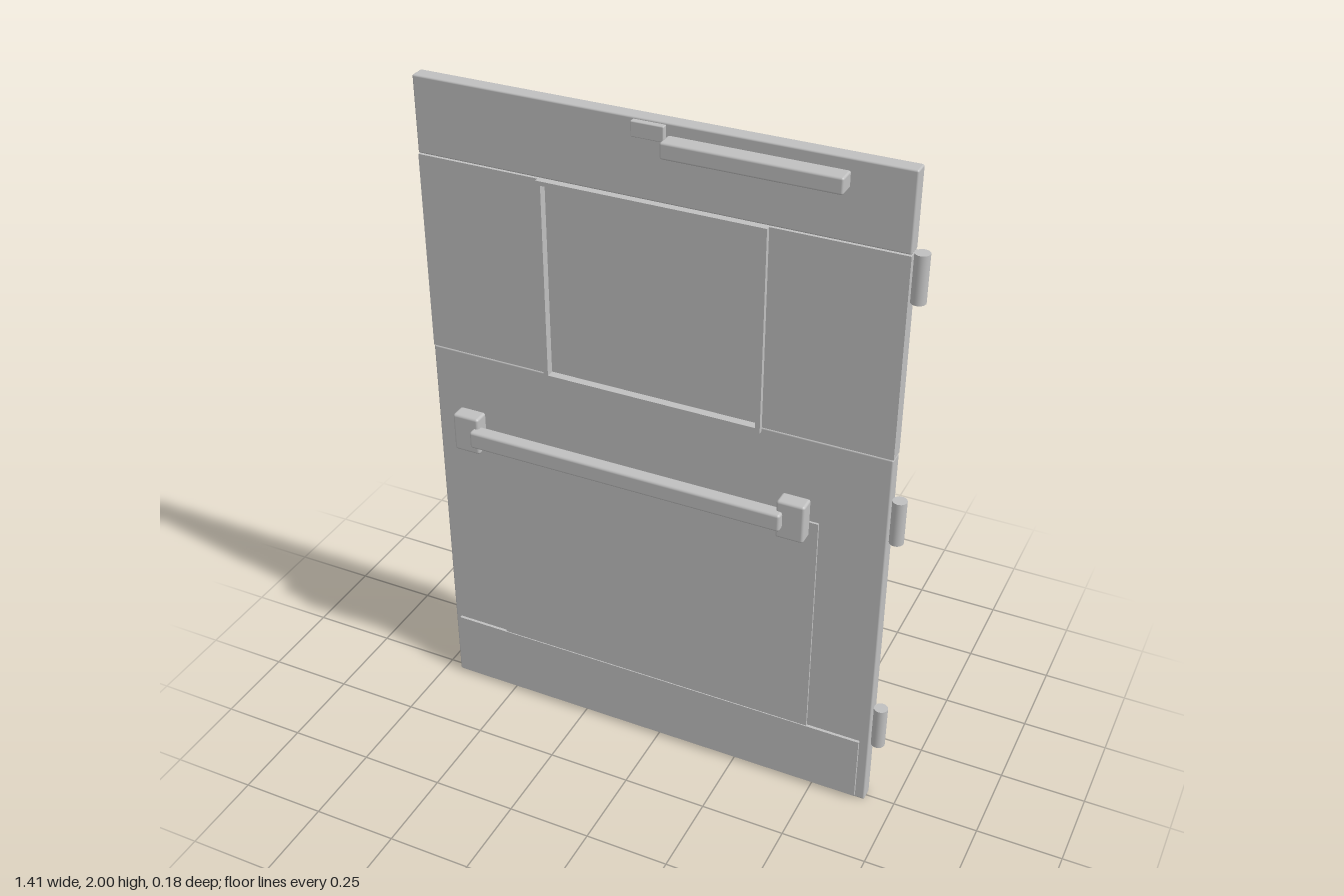
import * as THREE from 'three';
import { RoundedBoxGeometry } from 'three/addons/geometries/RoundedBoxGeometry.js';

export function createModel() {
  const door = new THREE.Group();
  door.name = 'door';
  const grey = new THREE.MeshStandardMaterial({ color: 0xc0c0c0 });
  grey.name = 'grey metal';

  const add = (name, geometry, x = 0, y = 0, z = 0) => {
    const mesh = new THREE.Mesh(geometry, grey);
    mesh.name = name;
    mesh.position.set(x, y, z);
    door.add(mesh);
    return mesh;
  };
  // Box given by its limits; a radius rounds its edges
  const block = (name, [x0, x1], [y0, y1], [z0, z1], radius = 0) => {
    const size = [x1 - x0, y1 - y0, z1 - z0];
    const geometry = radius
      ? new RoundedBoxGeometry(...size, 2, radius)
      : new THREE.BoxGeometry(...size);
    return add(name, geometry, (x0 + x1) / 2, (y0 + y1) / 2, (z0 + z1) / 2);
  };
  const rect = (path, x0, x1, y0, y1) =>
    path.moveTo(x0, y0).lineTo(x1, y0).lineTo(x1, y1).lineTo(x0, y1).closePath();

  // Door leaf: three bands with fine seams, the middle one open for the window
  const left = -0.705, right = 0.665, leaf = [-0.022, 0.022];
  block('lowerLeaf', [left, right], [0, 1.196], leaf, 0.005);
  block('upperLeaf', [left, right], [1.782, 2], leaf, 0.005);
  block('middleLeafRight', [left, -0.335], [1.197, 1.779], leaf);
  block('middleLeafLeft', [0.29, right], [1.197, 1.779], leaf);

  // Window pane and the frame around it
  block('windowPane', [-0.335, 0.29], [1.19, 1.78], [-0.012, 0.012]);
  const frame = new THREE.Shape();
  rect(frame, -0.345, 0.3, 1.185, 1.78);
  const opening = new THREE.Path();
  rect(opening, -0.331, 0.286, 1.199, 1.768);
  frame.holes.push(opening);
  add('windowFrame', new THREE.ExtrudeGeometry(frame, { depth: 0.07, bevelEnabled: false }), 0, 0, -0.034);

  // Thin panels and kick plates on both faces
  for (const [side, s] of [['front', 1], ['back', -1]]) {
    const layer = (a, b) => (s > 0 ? [a, b] : [-b, -a]);
    block(side + 'Panel', [-0.52, 0.475], [0.2, 0.94], layer(0.021, 0.029));
    block(side + 'KickPlate', [-0.685, 0.637], [0.012, 0.222], layer(0.023, 0.032));
  }

  // Hinge barrels on the left edge
  for (const y of [0.28, 0.997, 1.717]) {
    add('hinge', new THREE.CylinderGeometry(0.02, 0.02, 0.134, 24), 0.685, y, 0);
  }

  // Door closer at the top of the front
  block('closerBody', [0.026, 0.502], [1.925, 1.97], [0.022, 0.074], 0.006);
  block('closerPlate', [-0.07, 0.021], [1.953, 1.995], [0.02, 0.038], 0.003);

  // Push bar between two end mounts
  for (const x of [-0.589, 0.408]) {
    block('pushBarMount', [x - 0.041, x + 0.041], [0.893, 1.012], [0.021, 0.07], 0.008);
  }
  block('pushBar', [-0.566, 0.387], [0.926, 0.98], [0.048, 0.091], 0.008);

  // Pull handle on the back: a bent rod with two feet
  const v = (y, z) => new THREE.Vector3(-0.547, y, z);
  const rod = new THREE.CurvePath();
  rod.add(new THREE.LineCurve3(v(1.16, -0.02), v(1.16, -0.052)));
  rod.add(new THREE.QuadraticBezierCurve3(v(1.16, -0.052), v(1.16, -0.077), v(1.135, -0.077)));
  rod.add(new THREE.LineCurve3(v(1.135, -0.077), v(0.788, -0.077)));
  rod.add(new THREE.QuadraticBezierCurve3(v(0.788, -0.077), v(0.763, -0.077), v(0.763, -0.052)));
  rod.add(new THREE.LineCurve3(v(0.763, -0.052), v(0.763, -0.02)));
  add('pullHandle', new THREE.TubeGeometry(rod, 80, 0.014, 14));
  for (const y of [1.16, 0.763]) {
    block('pullHandleFoot', [-0.567, -0.527], [y - 0.02, y + 0.02], [-0.032, -0.02], 0.003);
  }

  // Small lock plate on the back
  block('lockPlate', [-0.555, -0.485], [1.42, 1.5], [-0.029, -0.021]);

  return door;
}
